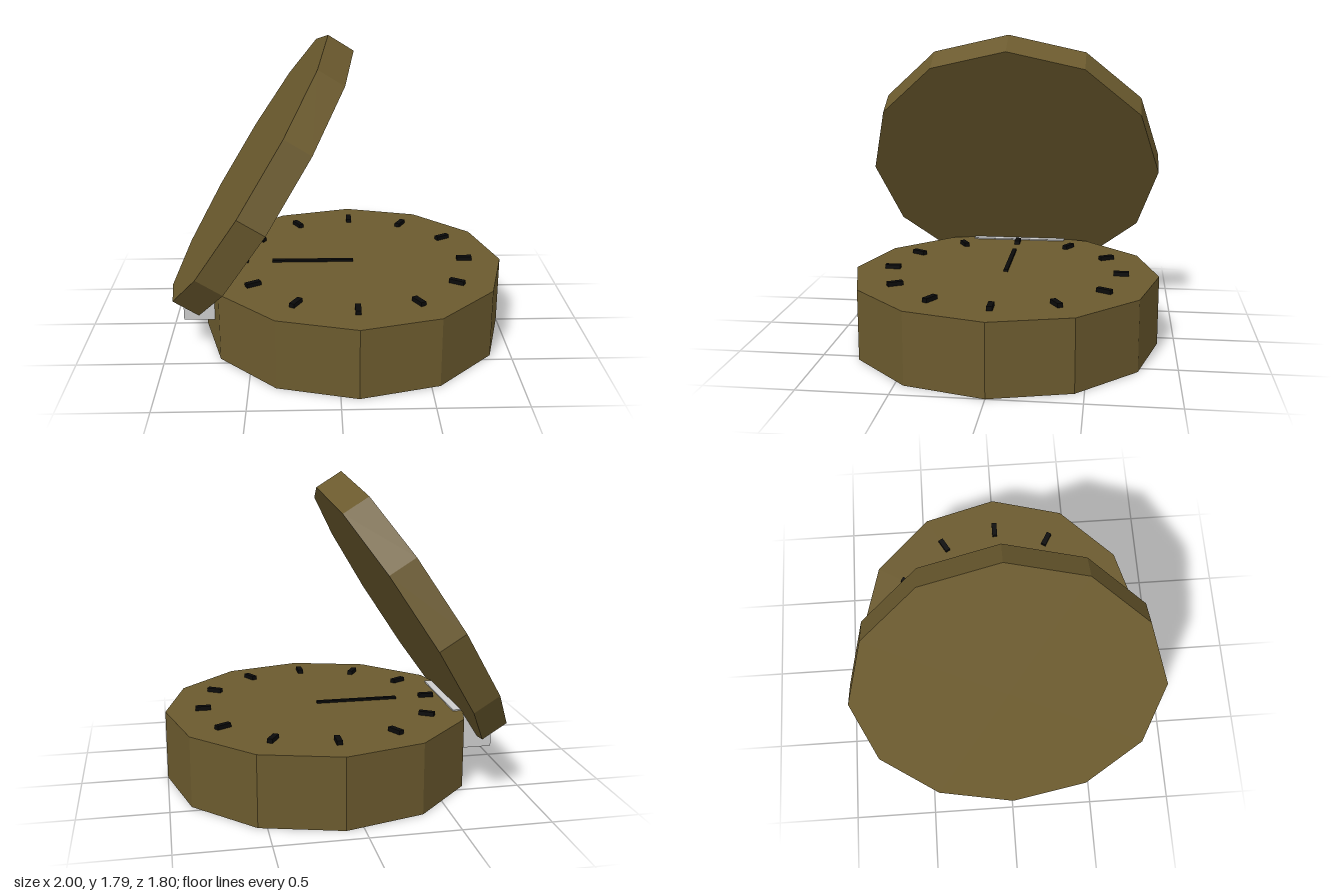
import * as THREE from 'three';

export function createModel() {
  const model = new THREE.Group();
  const brass = new THREE.MeshStandardMaterial({ color: 0x6b5a2e, flatShading: true });
  const black = new THREE.MeshStandardMaterial({ color: 0x0a0a0a });
  const grey = new THREE.MeshStandardMaterial({ color: 0xcccccc });

  const R = 0.9, CX = 0.1, TOP = 0.41;

  function add(name, geometry, material, x, y, z, parent = model) {
    const mesh = new THREE.Mesh(geometry, material);
    mesh.name = name;
    mesh.position.set(x, y, z);
    parent.add(mesh);
    return mesh;
  }

  // Twelve-sided case
  add('caseBody', new THREE.CylinderGeometry(R, R, TOP, 12), brass, CX, TOP / 2, 0);

  // Open lid, tilted back on the hinge
  const lid = add('lid', new THREE.CylinderGeometry(R, R, 0.17, 12), brass, -0.452, 0.985, 0);
  lid.rotation.z = THREE.MathUtils.degToRad(58);

  // Hinge block between case and lid
  add('hinge', new THREE.BoxGeometry(0.24, 0.24, 0.6), grey, -0.78, 0.297, 0);

  // Hour marks around the dial
  const marks = new THREE.Group();
  marks.name = 'hourMarks';
  marks.position.set(CX, TOP, 0);
  model.add(marks);
  const markShape = new THREE.BoxGeometry(0.09, 0.04, 0.032);
  for (let i = 0; i < 12; i++) {
    const a = (i / 12) * Math.PI * 2;
    const mark = add('hourMark', markShape, black, 0.68 * Math.cos(a), 0.004, -0.68 * Math.sin(a), marks);
    mark.rotation.y = a;
  }

  // Single hand pointing towards the hinge
  add('hand', new THREE.BoxGeometry(0.49, 0.03, 0.025), black, -0.145, 0.408, 0);

  return model;
}
